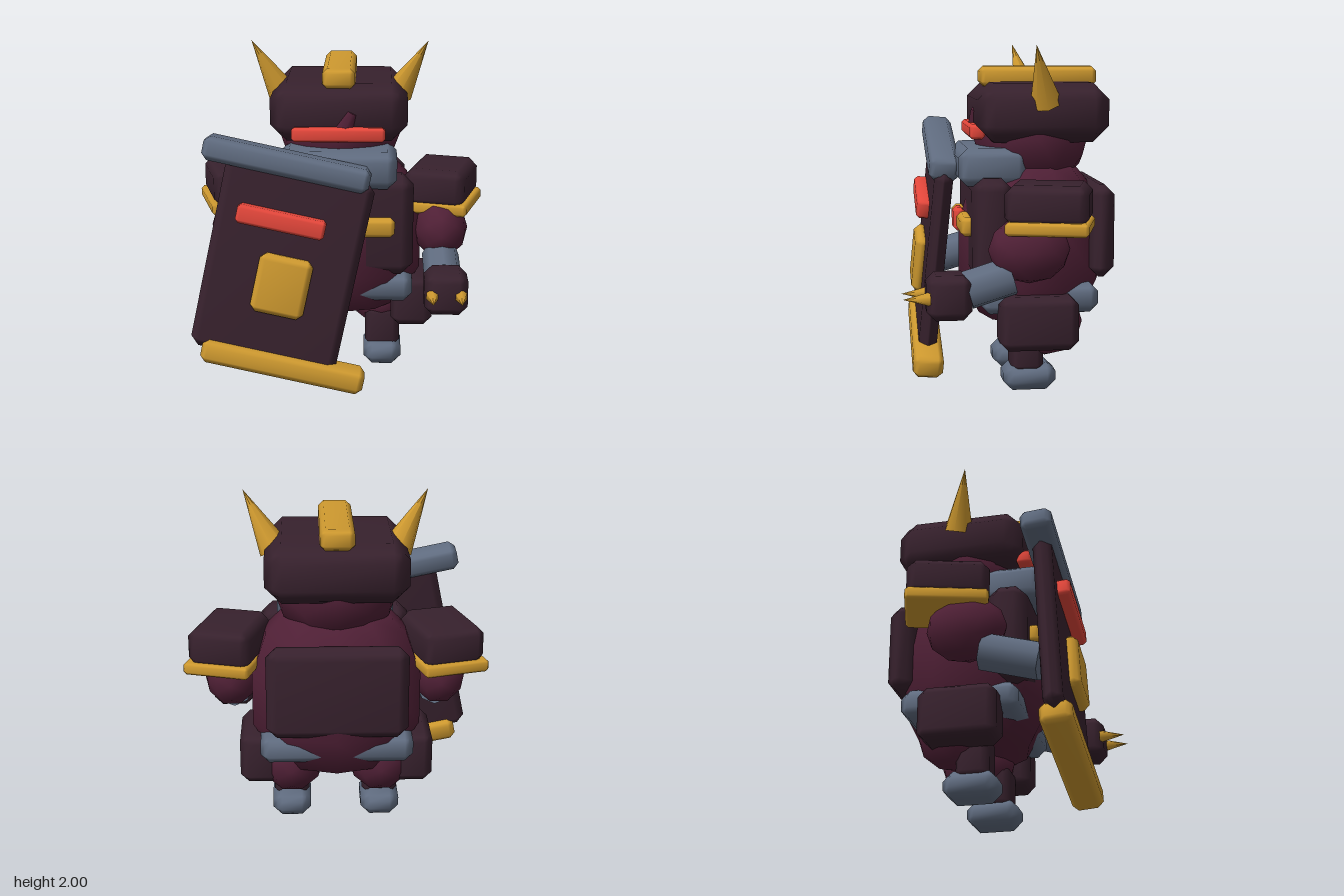
import * as THREE from 'three';
import { mergeVertices } from 'three/addons/utils/BufferGeometryUtils.js';

const paint = (name, color) => {
  const m = new THREE.MeshStandardMaterial({ color });
  m.name = name;
  return m;
};

// Box with single chamfered edges and soft normals
function chamferBox(w, h, d, bevel) {
  const base = new THREE.BoxGeometry(1, 1, 1, 3, 3, 3);
  base.deleteAttribute('uv');
  base.deleteAttribute('normal');
  const geo = mergeVertices(base);
  const half = [w / 2, h / 2, d / 2];
  const p = geo.attributes.position;
  for (let i = 0; i < p.count; i++) {
    const c = [p.getX(i), p.getY(i), p.getZ(i)];
    const outer = c.map((v) => Math.abs(v) > 0.4);
    const n = outer.filter(Boolean).length;
    // edges and corners are pulled back onto the chamfer
    const cut = [0, 0, bevel / 2, bevel * 0.62][n];
    const q = c.map((v, k) => Math.sign(v) * (half[k] - (outer[k] ? cut : bevel)));
    p.setXYZ(i, ...q);
  }
  geo.computeVertexNormals();
  return geo;
}

export function createModel() {
  const model = new THREE.Group();
  model.name = 'armouredGuard';
  const hide = paint('maroonHide', 0x502036);
  const plate = paint('darkPlate', 0x37212d);
  const steel = paint('blueSteel', 0x606c80);
  const gold = paint('gold', 0xce992f);
  const red = paint('red', 0xe5473b);

  const add = (name, geo, mat, pos, rot = [0, 0, 0]) => {
    const mesh = new THREE.Mesh(geo, mat);
    mesh.name = name;
    mesh.position.set(...pos);
    mesh.rotation.set(...rot);
    model.add(mesh);
    return mesh;
  };
  const block = (name, mat, size, pos, bevel, rot) =>
    add(name, chamferBox(...size, bevel), mat, pos, rot);
  // Faceted ball with smooth shading
  const ball = (name, mat, radii, pos) => {
    const mesh = add(name, new THREE.IcosahedronGeometry(1, 1), mat, pos);
    mesh.scale.set(...radii);
  };
  // Limb or spike between two points
  const limb = (name, mat, from, to, r0, r1, sides = 8) => {
    const a = new THREE.Vector3(...from), b = new THREE.Vector3(...to);
    const dir = b.clone().sub(a);
    const geo = new THREE.CylinderGeometry(r1, r0, dir.length(), sides);
    const mesh = add(name, geo, mat, a.clone().add(b).multiplyScalar(0.5).toArray());
    mesh.quaternion.setFromUnitVectors(new THREE.Vector3(0, 1, 0), dir.normalize());
  };

  // Barrel-shaped body
  const profile = [[0, 0.4], [0.31, 0.4], [0.43, 0.64], [0.43, 0.95], [0.36, 1.18], [0.25, 1.31], [0, 1.32]];
  const torso = add('torso', new THREE.LatheGeometry(profile.map((p) => new THREE.Vector2(...p)), 10),
    hide, [0, 0, -0.175]);
  torso.scale.x = 1.19;
  block('chestPlate', plate, [0.88, 0.6, 0.24], [0, 0.95, 0.09], 0.07);
  block('backPlate', plate, [0.8, 0.54, 0.15], [0, 0.935, -0.545], 0.06);
  block('waistGuard', steel, [0.88, 0.17, 0.68], [0, 0.555, -0.18], 0.05);
  block('chestBar', gold, [0.66, 0.11, 0.09], [0, 0.965, 0.225], 0.025);
  block('chestGem', red, [0.14, 0.14, 0.07], [0, 0.975, 0.255], 0.025);
  block('collar', steel, [0.68, 0.22, 0.4], [0, 1.305, 0.08], 0.055);

  // Head and helmet
  ball('head', hide, [0.37, 0.32, 0.345], [0, 1.46, -0.18]);
  limb('noseRidge', hide, [0.035, 1.53, 0.14], [0.08, 1.63, 0.155], 0.06, 0.03, 6);
  block('helmet', plate, [0.8, 0.34, 0.76], [0, 1.615, -0.21], 0.095);
  block('crest', gold, [0.19, 0.12, 0.69], [0, 1.815, -0.215], 0.03);
  block('visor', red, [0.54, 0.085, 0.09], [0, 1.505, 0.165], 0.018);

  for (const s of [1, -1]) {
    const side = s > 0 ? 'left' : 'right';
    limb(side + 'Horn', gold, [s * 0.345, 1.675, -0.215], [s * 0.52, 2, -0.135], 0.09, 0, 8);

    // Shoulder armour, splayed outward to the back
    block(side + 'Shoulder', plate, [0.37, 0.23, 0.46], [s * 0.615, 1.135, -0.195], 0.05, [0, -s * 0.27, 0]);
    block(side + 'ShoulderTrim', gold, [0.39, 0.075, 0.46], [s * 0.627, 1.015, -0.2], 0.018, [0, -s * 0.28, 0]);

    // Arms; the right forearm ends behind the shield
    const wrist = s > 0 ? [0.615, 0.66, 0.26] : [-0.615, 0.64, 0.34];
    ball(side + 'UpperArm', hide, [0.165, 0.19, 0.23], [s * 0.61, 0.88, -0.085]);
    limb(side + 'Forearm', steel, [s * 0.61, 0.735, 0.015], wrist, 0.11, 0.11, 8);

    // Legs
    ball(side + 'Thigh', hide, [0.19, 0.2, 0.22], [s * 0.26, 0.39, -0.23]);
    block(side + 'HipPlate', plate, [0.25, 0.31, 0.45], [s * 0.44, 0.435, -0.16], 0.05);
    block(side + 'Shin', plate, [0.21, 0.26, 0.19], [s * 0.265, 0.24, -0.115], 0.04);
    block(side + 'Foot', steel, [0.23, 0.16, 0.31], [s * 0.265, 0.08, -0.13], 0.055);
  }

  // Clawed hand
  block('leftFist', plate, [0.25, 0.25, 0.25], [0.625, 0.635, 0.365], 0.05);
  for (const x of [0.545, 0.707]) {
    limb('claw', gold, [x, 0.635, 0.47], [x, 0.635, 0.62], 0.04, 0, 6);
  }

  // Shield, leaning sideways and slightly back
  const tilt = [-0.085, 0, -0.21];
  block('shieldPlate', plate, [0.86, 1.15, 0.11], [-0.318, 0.785, 0.39], 0.05, tilt);
  block('shieldTopBar', steel, [0.96, 0.14, 0.18], [-0.285, 1.375, 0.34], 0.035, tilt);
  block('shieldBottomBar', gold, [0.96, 0.14, 0.18], [-0.315, 0.192, 0.44], 0.035, tilt);
  block('shieldStripe', red, [0.51, 0.11, 0.09], [-0.315, 1.065, 0.45], 0.02, tilt);
  block('shieldBoss', gold, [0.31, 0.35, 0.09], [-0.315, 0.685, 0.47], 0.035, tilt);

  return model;
}
